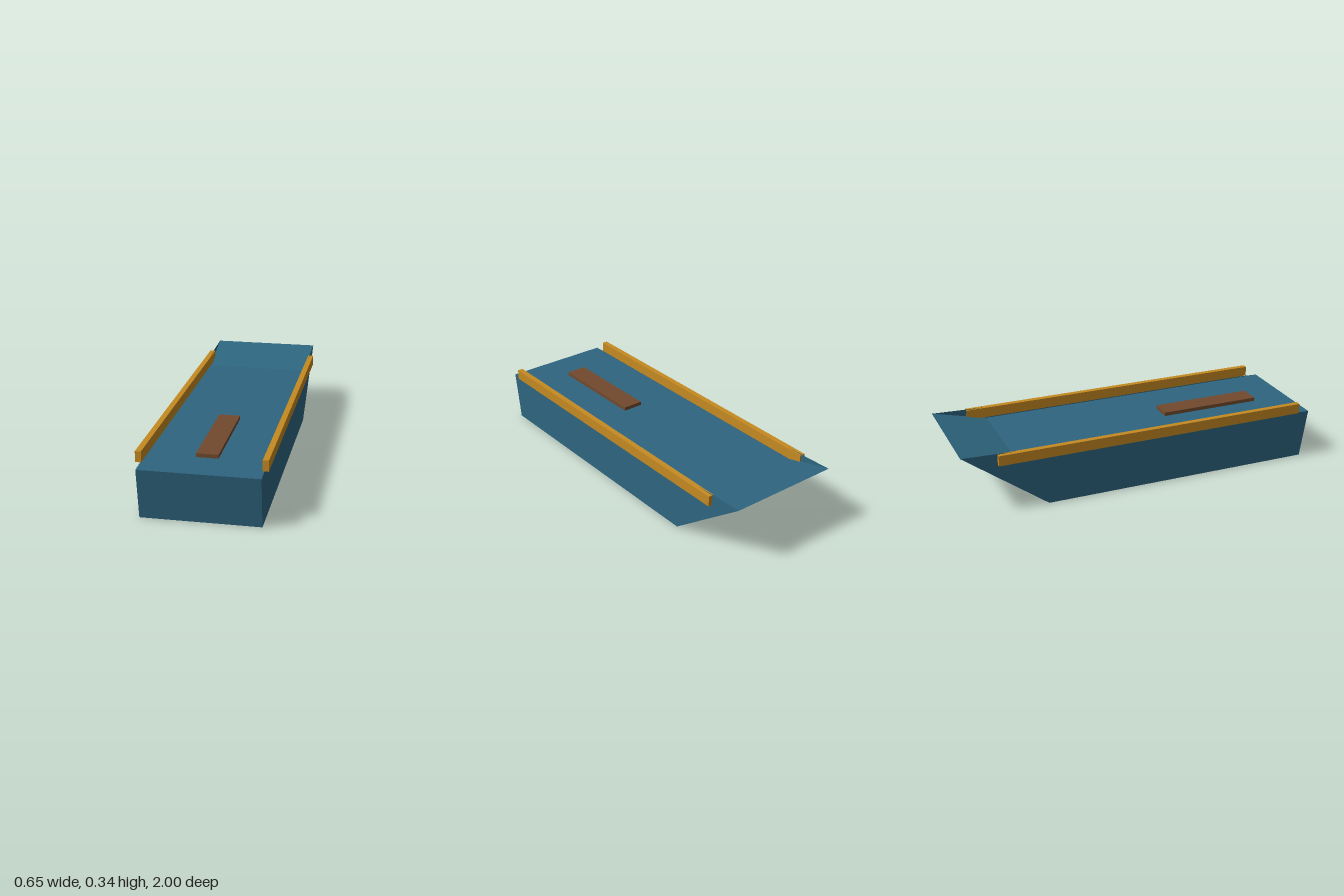
import * as THREE from 'three';

const HALF = 0.302; // half of the hull's width

const hullBlue = new THREE.MeshStandardMaterial({ color: 0x2e6680 });
hullBlue.name = 'hull blue';
hullBlue.side = THREE.DoubleSide;
const railOchre = new THREE.MeshStandardMaterial({ color: 0xc68a22 });
railOchre.name = 'rail ochre';
const plankBrown = new THREE.MeshStandardMaterial({ color: 0x724a2d });
plankBrown.name = 'plank brown';

// Shape from [z, y] points of a side profile
function sideShape(points) {
  return new THREE.Shape(points.map(([z, y]) => new THREE.Vector2(-z, y)));
}

function addMesh(group, name, geometry, material, x = 0, y = 0, z = 0) {
  const mesh = new THREE.Mesh(geometry, material);
  mesh.name = name;
  mesh.position.set(x, y, z);
  group.add(mesh);
}

export function createModel() {
  const model = new THREE.Group();
  model.name = 'barge';

  // Hull with a flat deck and a ramp rising to the raked end
  const profile = sideShape([[1, 0.265], [0.96, 0], [-0.545, 0], [-1, 0.34], [-0.7, 0.265]]);
  const hull = new THREE.ExtrudeGeometry(profile, { depth: 2 * HALF, bevelEnabled: false });
  hull.translate(0, 0, -HALF).rotateY(Math.PI / 2);
  addMesh(model, 'hull', hull, hullBlue);

  // Thin bulwarks follow the straight sheer line above the deck
  const bulwark = new THREE.ShapeGeometry(sideShape([[1, 0.265], [-0.7, 0.265], [-1, 0.34]]));
  bulwark.rotateY(Math.PI / 2);

  // Rails run along both sides
  const rail = new THREE.BoxGeometry(0.03, 0.056, 1.735);
  for (const [side, label] of [[1, 'left'], [-1, 'right']]) {
    addMesh(model, label + 'Bulwark', bulwark, hullBlue, side * HALF);
    addMesh(model, label + 'Rail', rail, railOchre, side * 0.309, 0.301, 0.0575);
  }

  // Plank lying on the deck
  addMesh(model, 'deckPlank', new THREE.BoxGeometry(0.113, 0.02, 0.565), plankBrown, 0, 0.275, 0.508);

  return model;
}
